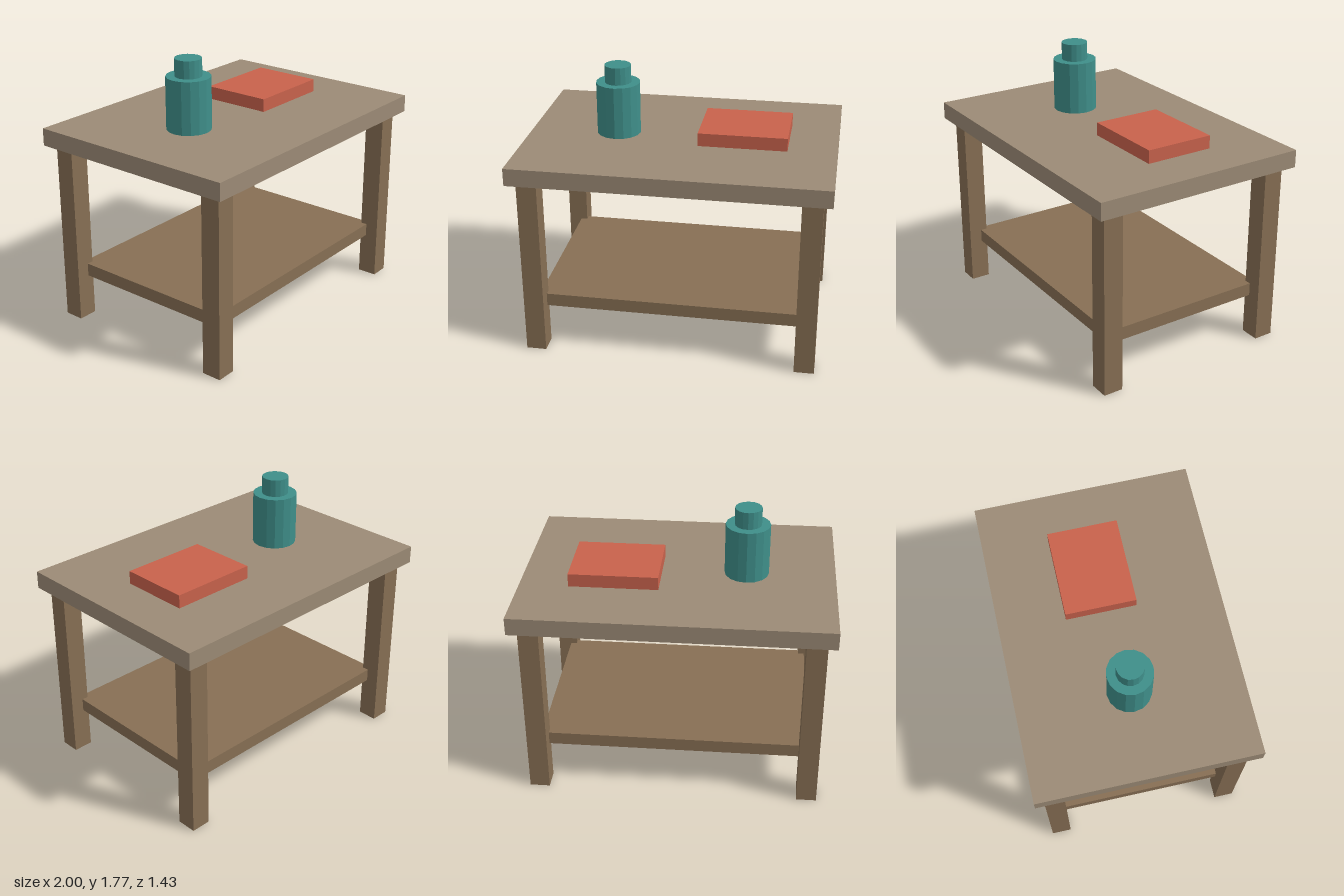
import * as THREE from 'three';

export function createModel() {
  const table = new THREE.Group();
  table.name = 'sideTable';

  const material = (color) => new THREE.MeshStandardMaterial({ color, flatShading: true });
  const topWood = material(0x9c8b76);
  const legWood = material(0x876f54);
  const teal = material(0x3f8f8a);
  const red = material(0xc8624c);

  // Every part is placed by the centre of its underside
  const add = (name, geometry, height, mat, x, y, z) => {
    const mesh = new THREE.Mesh(geometry, mat);
    mesh.name = name;
    mesh.position.set(x, y + height / 2, z);
    table.add(mesh);
  };
  const box = (name, w, h, d, mat, x, y, z) =>
    add(name, new THREE.BoxGeometry(w, h, d), h, mat, x, y, z);
  const cylinder = (name, r, h, mat, x, y, z) =>
    add(name, new THREE.CylinderGeometry(r, r, h, 16), h, mat, x, y, z);

  // Table top and lower shelf
  box('tableTop', 2, 0.114, 1.429, topWood, 0, 1.2, 0);
  box('shelf', 1.714, 0.086, 1.143, legWood, 0, 0.287, 0);

  // Four square legs
  for (const [side, sx] of [['Left', 1], ['Right', -1]]) {
    for (const [end, sz] of [['front', 1], ['back', -1]]) {
      box(`${end}${side}Leg`, 0.129, 1.2, 0.129, legWood, sx * 0.879, 0, sz * 0.593);
    }
  }

  // Bottle with its cap
  cylinder('bottle', 0.143, 0.343, teal, -0.429, 1.314, 0);
  cylinder('bottleCap', 0.086, 0.114, teal, -0.429, 1.657, 0);

  // Book lying flat
  box('book', 0.571, 0.086, 0.457, red, 0.4, 1.314, -0.057);

  return table;
}
